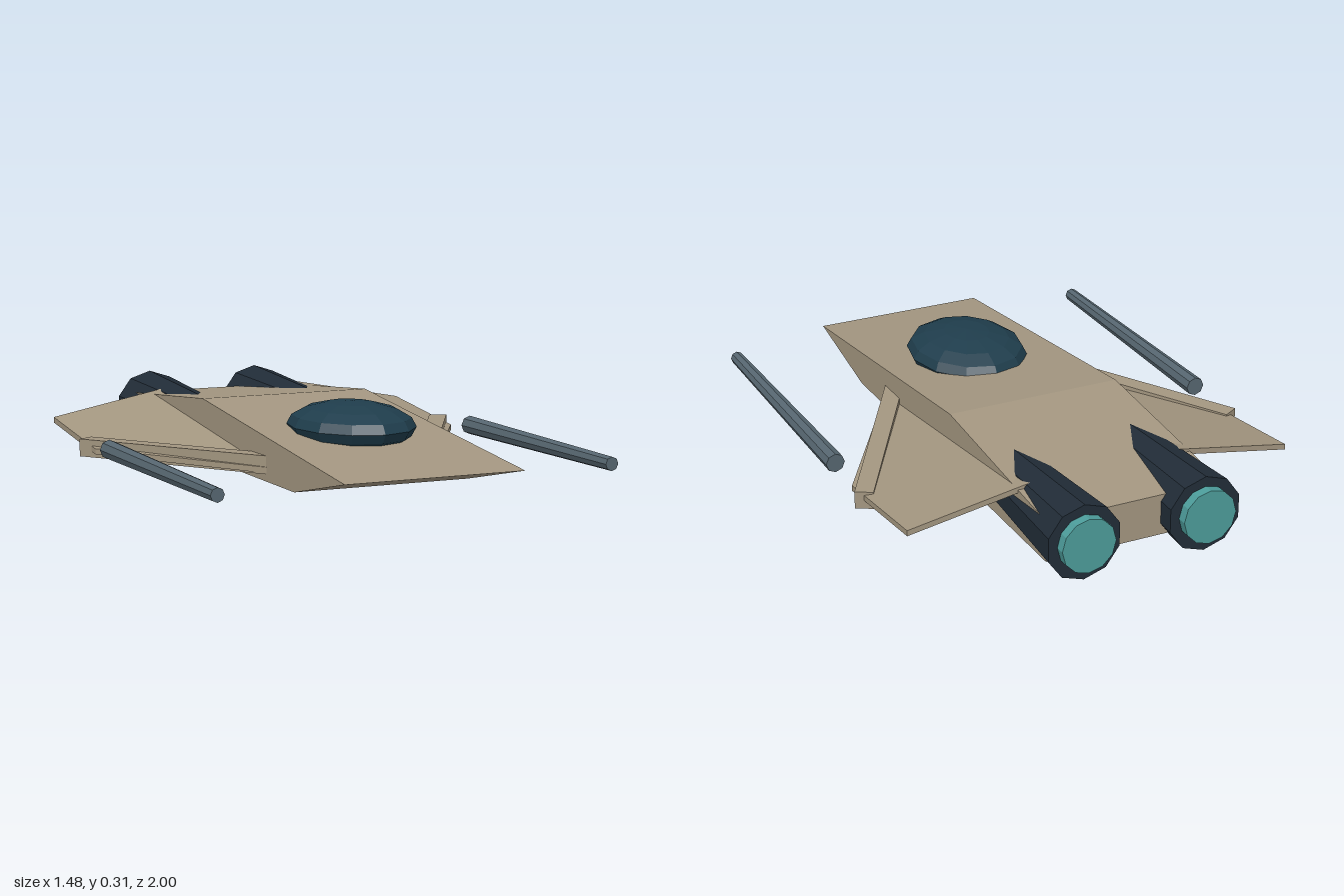
import * as THREE from 'three';

const mat = (color) => new THREE.MeshStandardMaterial({ color, flatShading: true });
const hullMat = mat(0xa39680);
const engineMat = mat(0x212c37);
const glowMat = mat(0x4c9c9a);
const gunMat = mat(0x566670);
const glassMat = mat(0x1f3d4c);

const shapeOf = (pts) => new THREE.Shape(pts.map(([a, b]) => new THREE.Vector2(a, b)));

// Cylinder lying along z, from zFront (radius rFront) to zBack (radius rBack)
function rod(rFront, rBack, zFront, zBack, sides) {
  return new THREE.CylinderGeometry(rFront, rBack, zFront - zBack, sides)
    .rotateX(Math.PI / 2)
    .translate(0, 0, (zFront + zBack) / 2);
}

export function createModel() {
  const model = new THREE.Group();
  const add = (name, geometry, material, x = 0, y = 0, z = 0) => {
    const mesh = new THREE.Mesh(geometry, material);
    mesh.name = name;
    mesh.position.set(x, y, z);
    model.add(mesh);
    return mesh;
  };

  // Hull: wedge side profile (z, y) extruded across x
  const profile = [[1, 0.14], [-0.17, 0.265], [-0.895, 0.2], [-0.895, 0.055], [0.62, 0.055]];
  add('hull', new THREE.ExtrudeGeometry(shapeOf(profile), { depth: 0.64, bevelEnabled: false })
    .rotateY(-Math.PI / 2).translate(0.32, 0, 0), hullMat);

  // Canopy: flattened faceted dome
  add('canopy', new THREE.SphereGeometry(1, 12, 8).scale(0.21, 0.083, 0.26),
    glassMat, 0, 0.225, 0.38);

  for (const [label, s] of [['left', 1], ['right', -1]]) {
    // Wing: thin swept plate (x, z), tilted down towards the tip and the front
    const plan = [[0.25, 0.51], [0.705, -0.22], [0.705, -0.68], [0.25, -0.695]];
    const wing = new THREE.ExtrudeGeometry(shapeOf(plan.map(([x, z]) => [s * x, z])),
      { depth: 0.02, bevelEnabled: false }).rotateX(Math.PI / 2);
    const p = wing.attributes.position;
    for (let i = 0; i < p.count; i++) {
      p.setY(i, p.getY(i) + 0.24 - 0.184 * (Math.abs(p.getX(i)) - 0.25) - 0.113 * (p.getZ(i) + 0.695));
    }
    wing.computeVertexNormals();
    add(`${label}Wing`, wing, hullMat);

    // Beam along the leading edge
    const root = new THREE.Vector3(s * 0.22, 0.113, 0.5);
    const tip = new THREE.Vector3(s * 0.705, 0.096, -0.325);
    const beam = add(`${label}Beam`, new THREE.BoxGeometry(0.064, 0.062, root.distanceTo(tip)), hullMat);
    beam.position.copy(root).lerp(tip, 0.5);
    beam.lookAt(tip);

    // Tapered gun barrel beside the wing tip
    add(`${label}Gun`, rod(0.024, 0.034, 0.905, -0.075, 8), gunMat, s * 0.705, 0.121, 0);

    // Engine and its glowing exhaust
    add(`${label}Engine`, rod(0.1, 0.134, -0.41, -0.965, 10), engineMat, s * 0.22, 0.136, 0);
    add(`${label}Exhaust`, rod(0.096, 0.096, -0.95, -1, 12), glowMat, s * 0.22, 0.139, 0);
  }
  return model;
}
